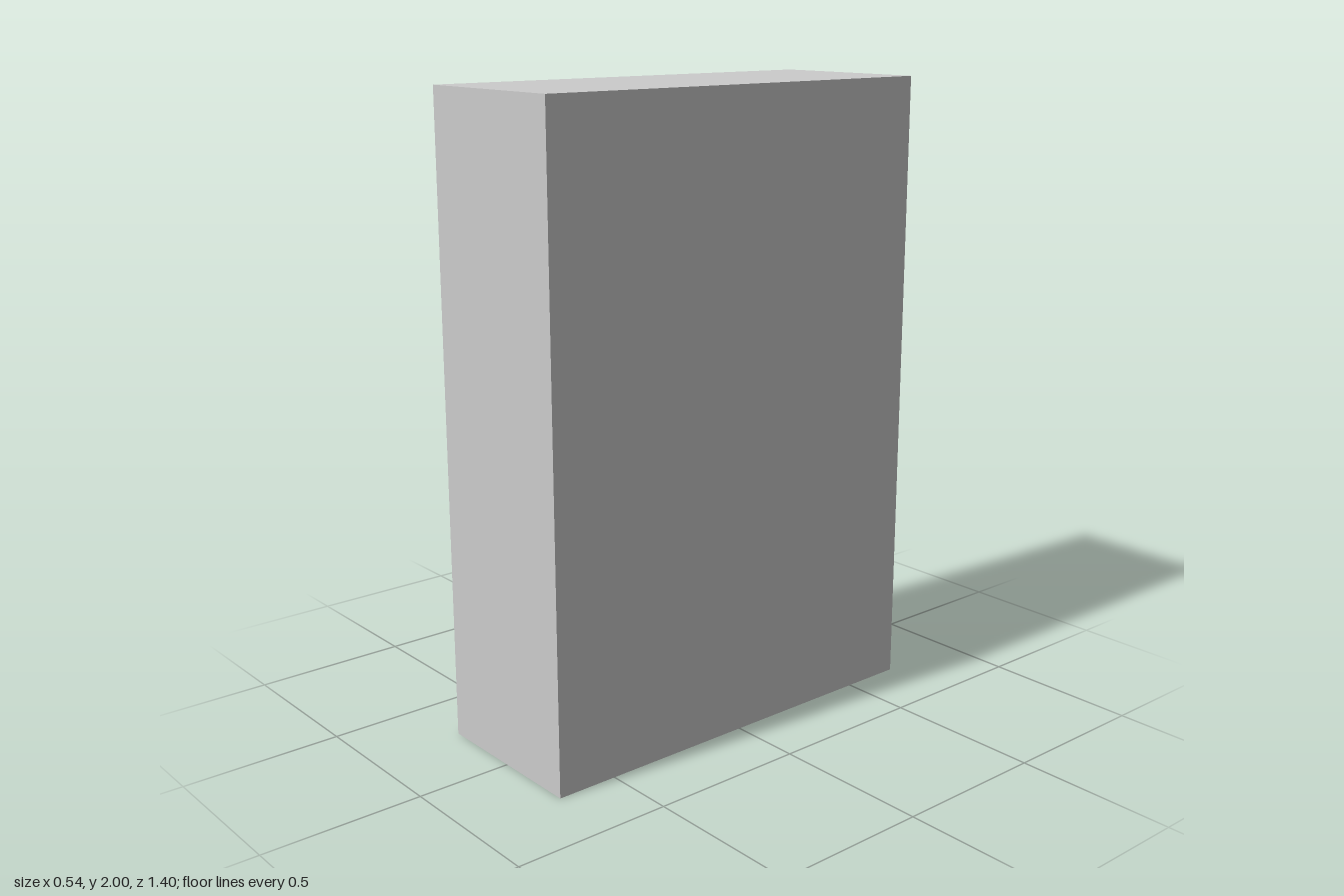
import * as THREE from 'three';

// Cabinet whose two doors face -x
const X = 0.272, Z = 0.698, H = 2, T = 0.018;
const DOOR_FACE = -0.261, DOOR_BACK = -0.237, GAP = 0.026;

export function createModel() {
  const group = new THREE.Group();
  const mat = new THREE.MeshStandardMaterial({ color: 0xcccccc, flatShading: true });

  const add = (name, geo) => {
    const mesh = new THREE.Mesh(geo, mat);
    mesh.name = name;
    group.add(mesh);
    return mesh;
  };
  // Box given by its lower and upper corners
  const box = (name, x0, x1, y0, y1, z0, z1) =>
    add(name, new THREE.BoxGeometry(x1 - x0, y1 - y0, z1 - z0))
      .position.set((x0 + x1) / 2, (y0 + y1) / 2, (z0 + z1) / 2);
  const rect = (path, u0, u1, v0, v1) => {
    path.moveTo(u0, v0);
    path.lineTo(u1, v0);
    path.lineTo(u1, v1);
    path.lineTo(u0, v1);
    path.closePath();
    return path;
  };

  // Carcass panels
  box('bottomPanel', -X, X, 0, T, -Z, Z);
  box('topPanel', -X, X, H - T, H, -Z, Z);
  box('backPanel', X - T, X, T, H - T, -Z + T, Z - T);
  box('centerDivider', DOOR_BACK, X - T, T, H - T, -0.03, 0.03);

  for (const s of [-1, 1]) {
    const side = s > 0 ? 'left' : 'right';
    const span = (a, b) => [Math.min(s * a, s * b), Math.max(s * a, s * b)];
    box(side + 'SidePanel', -X, X, T, H - T, ...span(Z - T, Z));

    // Recessed door with a slot-shaped finger pull
    const shape = rect(new THREE.Shape(), ...span(GAP / 2, Z - T), T, H - T);
    shape.holes.push(rect(new THREE.Path(), ...span(0.57, 0.594), 0.9, 1.22));
    const geo = new THREE.ExtrudeGeometry(shape, { depth: DOOR_BACK - DOOR_FACE, bevelEnabled: false });
    geo.rotateY(-Math.PI / 2);
    add(side + 'Door', geo).position.x = DOOR_BACK;

    // Floor of the finger pull
    box(side + 'PullBacking', DOOR_BACK, DOOR_BACK + 0.006, 0.88, 1.24, ...span(0.55, 0.614));
  }
  return group;
}
